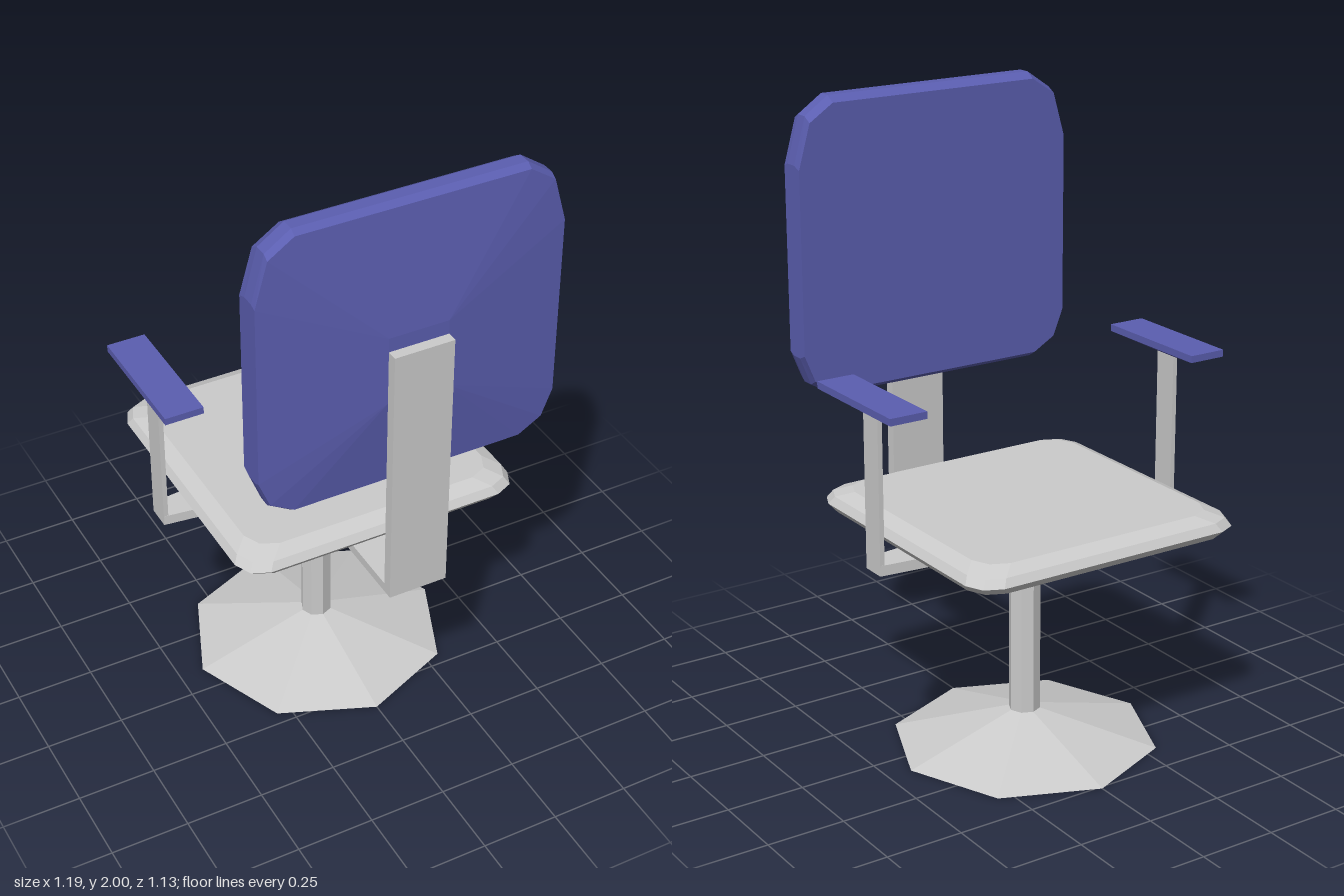
import * as THREE from 'three';

const grey = new THREE.MeshStandardMaterial({ color: 0xcccccc, flatShading: true });
const blue = new THREE.MeshStandardMaterial({ color: 0x5b5eb0, flatShading: true });

// Skins a stack of counter-clockwise rings [[x, y], ...] placed at heights z, with end caps.
function loft(rings) {
  const pos = [];
  const P = rings.map(({ z, pts }) => pts.map(([x, y]) => new THREE.Vector3(x, y, z)));
  const tri = (a, b, c) => {
    if (new THREE.Triangle(a, b, c).getArea() > 1e-7) [a, b, c].forEach((v) => pos.push(v.x, v.y, v.z));
  };
  const n = P[0].length;
  for (let r = 0; r < P.length - 1; r++) {
    for (let i = 0; i < n; i++) {
      const j = (i + 1) % n;
      tri(P[r][i], P[r][j], P[r + 1][j]);
      tri(P[r][i], P[r + 1][j], P[r + 1][i]);
    }
  }
  const first = P[0], last = P[P.length - 1];
  for (let i = 1; i < n - 1; i++) {
    tri(first[0], first[i + 1], first[i]);
    tri(last[0], last[i], last[i + 1]);
  }
  const g = new THREE.BufferGeometry();
  g.setAttribute('position', new THREE.Float32BufferAttribute(pos, 3));
  g.computeVertexNormals();
  return g;
}

// Right half of an outline (bottom to top) completed by its mirror image.
const mirrored = (half) => [...half, ...half.map(([x, y]) => [-x, y]).reverse()];
const rect = (w, d, cy = 0) => mirrored([[w, cy - d], [w, cy + d]]);

export function createModel() {
  const model = new THREE.Group();
  const add = (name, geometry, material, x = 0, y = 0, z = 0) => {
    const mesh = new THREE.Mesh(geometry, material);
    mesh.name = name;
    mesh.position.set(x, y, z);
    model.add(mesh);
    return mesh;
  };
  // Box given by its limits on each axis
  const box = (name, [x0, x1], [y0, y1], [z0, z1]) =>
    add(name, new THREE.BoxGeometry(x1 - x0, y1 - y0, z1 - z0), grey,
      (x0 + x1) / 2, (y0 + y1) / 2, (z0 + z1) / 2);

  // Pedestal
  add('base', new THREE.CylinderGeometry(0.05, 0.42, 0.105, 8), grey, 0, 0.0525, -0.09);
  add('column', new THREE.CylinderGeometry(0.05, 0.05, 0.6, 8), grey, 0, 0.4, -0.09);

  // Seat cushion with clipped corners and rounded rim
  const seatRing = (h) => mirrored([
    [h - 0.08, -h], [h - 0.025, 0.025 - h], [h, 0.08 - h],
    [h, h - 0.08], [h - 0.025, h - 0.025], [h - 0.08, h],
  ]);
  const seat = [[0.725, 0.405], [0.74, 0.45], [0.765, 0.47], [0.79, 0.455], [0.81, 0.41]];
  add('seat', loft(seat.map(([z, h]) => ({ z, pts: seatRing(h) }))), grey, 0, 0, -0.095)
    .rotation.x = -Math.PI / 2;

  // Backrest: flat front, bevelled top and bottom, rear tapering to a small pad
  const outline = [[0.37, 1.065], [0.445, 1.11], [0.48, 1.2], [0.48, 1.8], [0.44, 1.945], [0.36, 2]];
  const backRing = (k) => mirrored(outline.map(([x, y]) => [x, 1.5325 + (y - 1.5325) * k]));
  const pad = mirrored([1.38, 1.38, 1.38, 1.6, 1.6, 1.6].map((y) => [0.095, y]));
  add('backrest', loft([
    { z: 0.4, pts: backRing(0.96) },
    { z: 0.43, pts: backRing(1) },
    { z: 0.47, pts: backRing(1) },
    { z: 0.49, pts: backRing(0.97) },
    { z: 0.528, pts: pad },
  ]), blue);

  // Bent bracket carrying the backrest
  box('backPost', [-0.095, 0.095], [0.69, 1.555], [0.528, 0.562]);
  box('backBar', [-0.095, 0.095], [0.69, 0.72], [-0.09, 0.54]);

  // Cross plate under the seat, narrowing towards the arms
  const plate = mirrored([[0.095, 0], [0.54, 0.055], [0.54, 0.135], [0.095, 0.18]]);
  add('crossPlate', loft([{ z: 0.688, pts: plate }, { z: 0.721, pts: plate }]), grey)
    .rotation.x = -Math.PI / 2;

  // Arm posts and armrests
  for (const [side, s] of [['left', 1], ['right', -1]]) {
    const xs = [s * 0.526, s * 0.541].sort((a, b) => a - b);
    box(side + 'ArmPost', xs, [0.688, 1.185], [-0.135, -0.055]);
    add(side + 'Armrest', loft([
      { z: 1.18, pts: rect(0.01, 0.042, 0.095) },
      { z: 1.208, pts: rect(0.061, 0.207, 0.0875) },
      { z: 1.23, pts: rect(0.061, 0.207, 0.0875) },
    ]), blue, s * 0.532).rotation.x = -Math.PI / 2;
  }
  return model;
}
